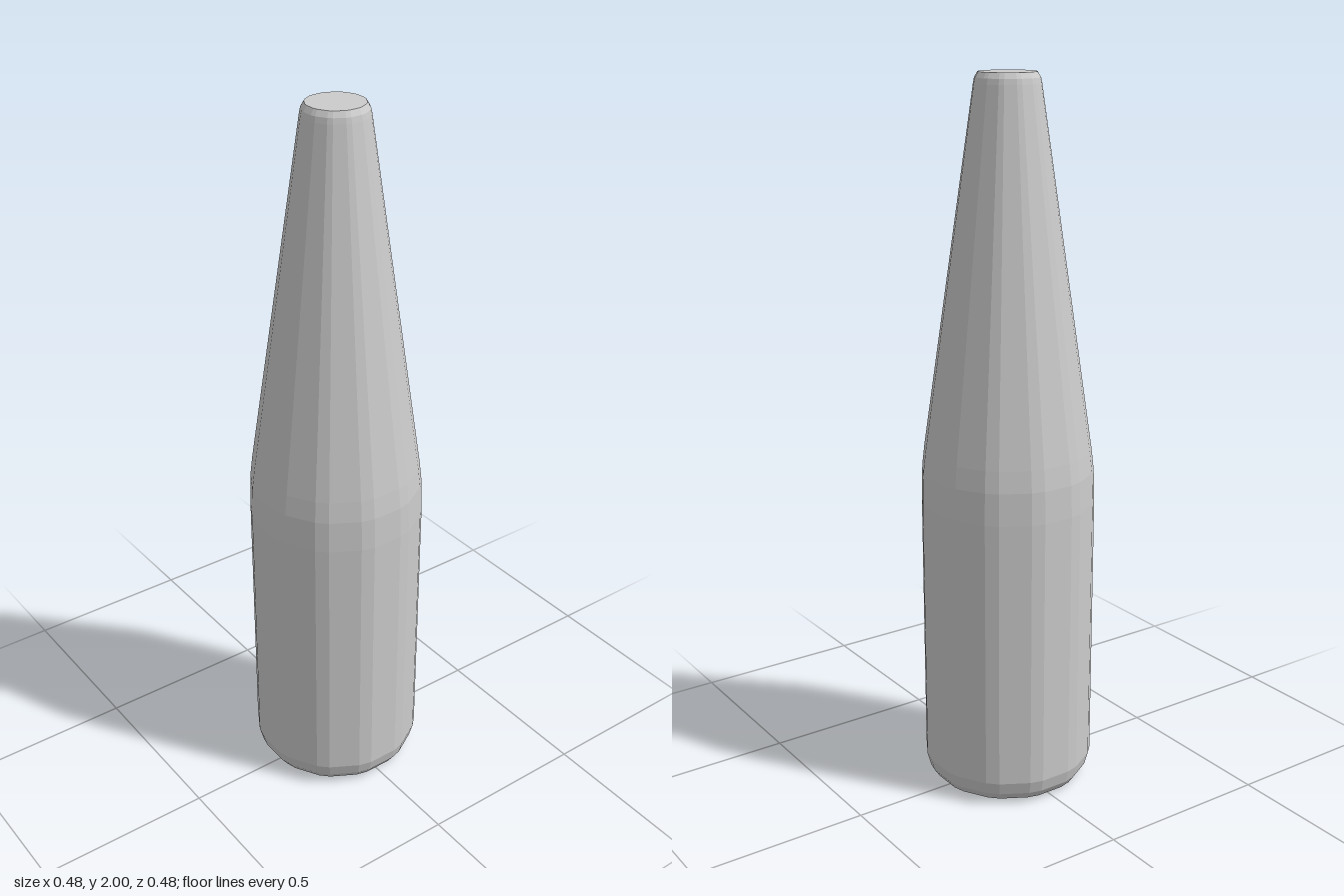
import * as THREE from 'three';

// Turned body: twelve broad facets with a narrow bevel between neighbours.
function facetedLathe(profile, facets, halfAngle) {
  const points = profile.map(([r, y]) => new THREE.Vector2(r, y));
  const geometry = new THREE.LatheGeometry(points, facets * 2);
  const pos = geometry.attributes.position;
  const step = (Math.PI * 2) / facets;
  for (let i = 0; i < pos.count; i++) {
    const column = Math.floor(i / points.length);
    const r = points[i % points.length].x;
    const angle = Math.floor(column / 2) * step + (column % 2 ? halfAngle : -halfAngle);
    pos.setX(i, r * Math.sin(angle));
    pos.setZ(i, r * Math.cos(angle));
  }
  geometry.computeVertexNormals();
  return geometry;
}

export function createModel() {
  const group = new THREE.Group();
  group.name = 'bottle';
  const material = new THREE.MeshStandardMaterial({ color: 0xcccccc, flatShading: true });

  // Closed profile: flat base, rounded foot, straight body, long taper, flat tip
  const profile = [
    [0, 0], [0.197, 0], [0.216, 0.01], [0.232, 0.033], [0.242, 0.07],
    [0.243, 0.84], [0.24, 0.93], [0.233, 0.99],
    [0.09, 1.97], [0.087, 1.985], [0.078, 2], [0, 2],
  ];
  const body = new THREE.Mesh(facetedLathe(profile, 12, THREE.MathUtils.degToRad(10.5)), material);
  body.name = 'taperedBody';
  group.add(body);
  return group;
}
